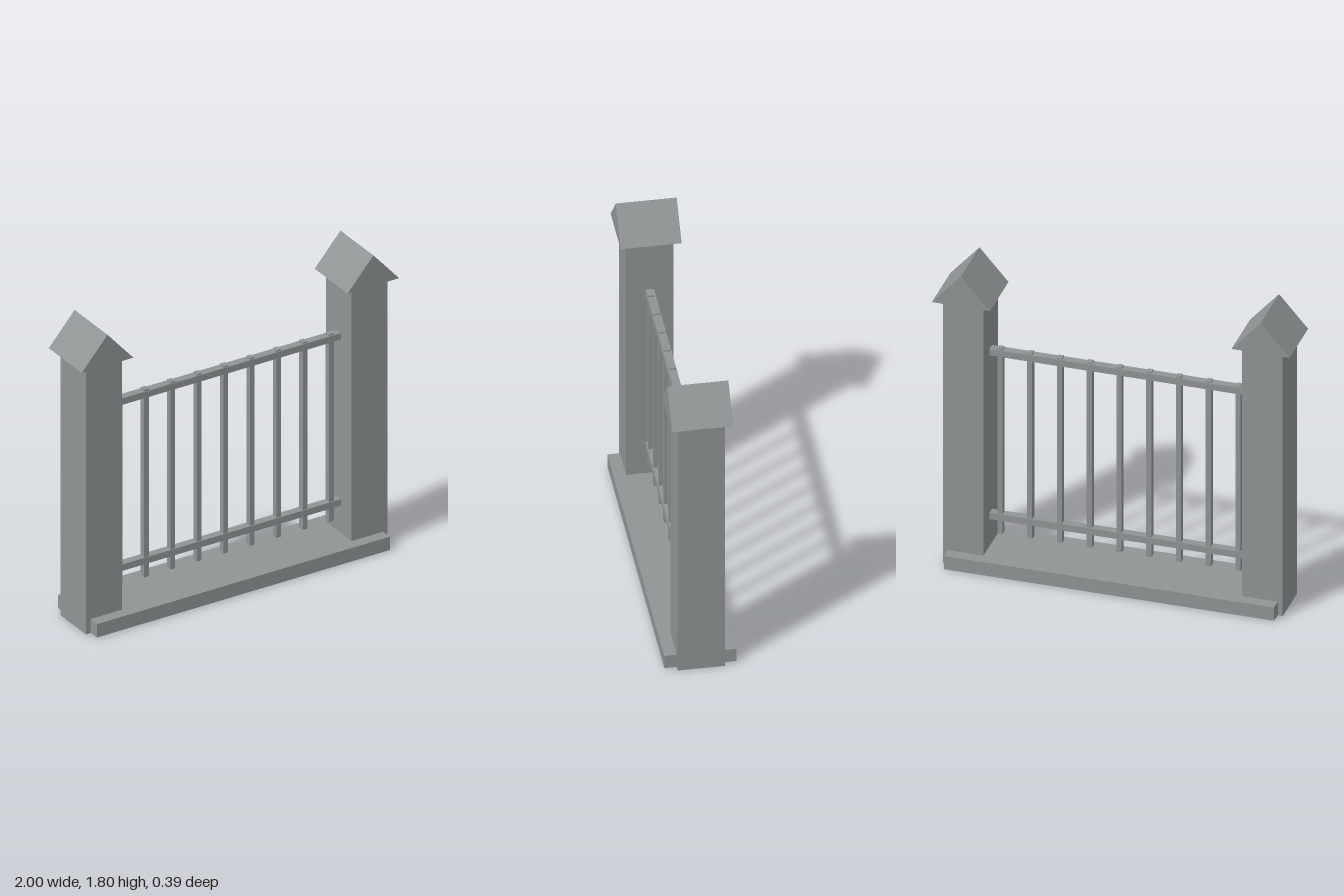
import * as THREE from 'three';

export function createModel() {
  const group = new THREE.Group();
  const stone = new THREE.MeshStandardMaterial({ color: 0x8f9495, flatShading: true });
  stone.name = 'grey';

  // box given by its centre x, its bottom and its size
  function box(name, x, bottom, w, h, d) {
    const mesh = new THREE.Mesh(new THREE.BoxGeometry(w, h, d), stone);
    mesh.name = name;
    mesh.position.set(x, bottom + h / 2, 0);
    group.add(mesh);
  }

  // plinth
  box('base', 0, 0.004, 1.845, 0.081, 0.39);

  // gabled cap, ridge running front to back
  const gable = new THREE.Shape();
  gable.moveTo(-0.1625, 0);
  gable.lineTo(0.1625, 0);
  gable.lineTo(0, 0.185);
  gable.closePath();
  const capGeometry = new THREE.ExtrudeGeometry(gable, { depth: 0.33, bevelEnabled: false });
  capGeometry.translate(0, 0, -0.165);

  // pillars with caps
  for (const [side, label] of [[1, 'left'], [-1, 'right']]) {
    box(label + 'Pillar', side * 0.8365, 0, 0.227, 1.615, 0.256);
    const cap = new THREE.Mesh(capGeometry, stone);
    cap.name = label + 'Cap';
    cap.position.set(side * 0.8375, 1.615, 0);
    group.add(cap);
  }

  // rails
  box('lowerRail', 0, 0.252, 1.446, 0.039, 0.046);
  box('upperRail', 0, 1.258, 1.446, 0.039, 0.046);

  // upright bars
  for (let i = -4; i <= 4; i++) {
    box('bar' + (i + 5), i * 0.1665, 0.17, 0.029, 1.136, 0.036);
  }

  return group;
}
